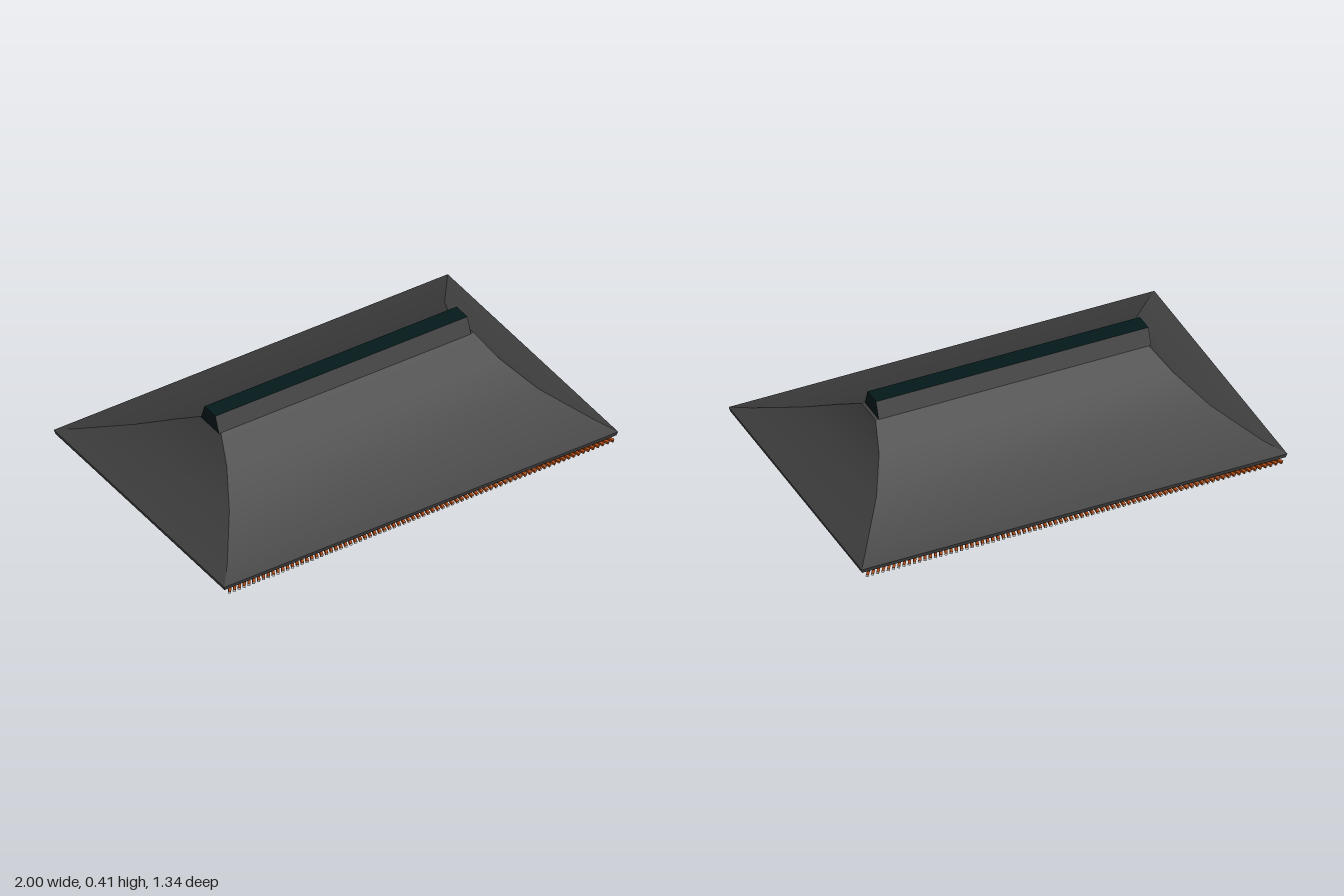
import * as THREE from 'three';
import { mergeGeometries } from 'three/addons/utils/BufferGeometryUtils.js';

const material = (name, color) => {
  const m = new THREE.MeshStandardMaterial({ color });
  m.name = name;
  return m;
};

// Four separate walls through rectangular rings [left, right, halfDepth, y]:
// smooth along the curve, sharp at the hips.
function hipShell(rings, inward = false) {
  const corners = ([l, r, d, y]) => [[l, y, d], [r, y, d], [r, y, -d], [l, y, -d]];
  const walls = [];
  for (let s = 0; s < 4; s++) {
    const pos = [], index = [];
    rings.forEach((ring, i) => {
      const c = corners(ring);
      pos.push(...c[s], ...c[(s + 1) % 4]);
      if (i === 0) return;
      const a = 2 * (i - 1), b = a + 1, d = a + 2, e = a + 3;
      index.push(...(inward ? [a, e, b, a, d, e] : [a, b, e, a, e, d]));
    });
    const g = new THREE.BufferGeometry();
    g.setAttribute('position', new THREE.Float32BufferAttribute(pos, 3));
    g.setIndex(index);
    g.computeVertexNormals();
    walls.push(g);
  }
  return mergeGeometries(walls);
}

export function createModel() {
  const model = new THREE.Group();
  const tile = material('roof tile grey', 0x3f3f3f);
  const ridgeDark = material('ridge dark teal', 0x05191b);
  const ceilingBrown = material('ceiling brown', 0x6a5144);
  const wood = material('rafter orange', 0xa84404);
  const white = material('rafter end white', 0xe8e8e4);

  const add = (name, geometry, mat, parent = model) => {
    const mesh = new THREE.Mesh(geometry, mat);
    mesh.name = name;
    parent.add(mesh);
    return mesh;
  };

  // Curved roof
  const profile = [
    [-1, 1, 0.662, 0.045],
    [-0.925, 0.935, 0.57, 0.08],
    [-0.78, 0.79, 0.365, 0.172],
    [-0.685, 0.7, 0.2, 0.265],
    [-0.63, 0.655, 0.07, 0.34],
  ];
  add('roof', hipShell(profile), tile);
  const cap = new THREE.PlaneGeometry(1.285, 0.14).rotateX(-Math.PI / 2);
  cap.translate(0.0125, 0.34, 0);
  add('roofCap', cap, tile);

  // Eave board
  const eaveFoot = [-0.995, 0.995, 0.656, 0.025];
  add('eaveBoard', hipShell([eaveFoot, profile[0]]), tile);

  // Hollow underside, closed by a flat ceiling below the ridge
  add('ceiling', hipShell([
    eaveFoot,
    [-0.92, 0.93, 0.565, 0.06],
    [-0.78, 0.79, 0.36, 0.142],
    [-0.685, 0.695, 0.19, 0.222],
  ], true), ceilingBrown);
  const top = new THREE.PlaneGeometry(1.38, 0.38).rotateX(Math.PI / 2);
  top.translate(0.005, 0.222, 0);
  add('ceilingTop', top, ceilingBrown);

  // Ridge: grey flanks, dark top and ends
  const ridge = new THREE.BoxGeometry(1.28, 0.075, 0.14);
  const p = ridge.attributes.position;
  for (let i = 0; i < p.count; i++) {
    if (p.getY(i) > 0) p.setZ(i, Math.sign(p.getZ(i)) * 0.042);
  }
  ridge.computeVertexNormals();
  add('ridge', ridge, [ridgeDark, ridgeDark, ridgeDark, ridgeDark, tile, tile])
    .position.y = 0.3775;

  // Sloping rafters with pale ends, fanning outward toward the corners
  const count = 80, length = 0.12, beams = [], ends = [];
  for (let i = 0; i < count; i++) {
    const x = -0.975 + (1.95 * i) / (count - 1);
    const place = (g, z) => g.translate(0, 0, z).rotateY(0.65 * x)
      .rotateX(0.31).translate(x, 0.009, 0.664);
    beams.push(place(new THREE.BoxGeometry(0.012, 0.013, length), -length / 2));
    ends.push(place(new THREE.PlaneGeometry(0.012, 0.013), 0.001));
  }
  const beamRow = mergeGeometries(beams), endRow = mergeGeometries(ends);
  for (const side of ['front', 'back']) {
    const row = new THREE.Group();
    row.name = side + 'Rafters';
    add('rafters', beamRow, wood, row);
    add('rafterEnds', endRow, white, row);
    if (side === 'back') row.rotation.y = Math.PI;
    model.add(row);
  }
  return model;
}
